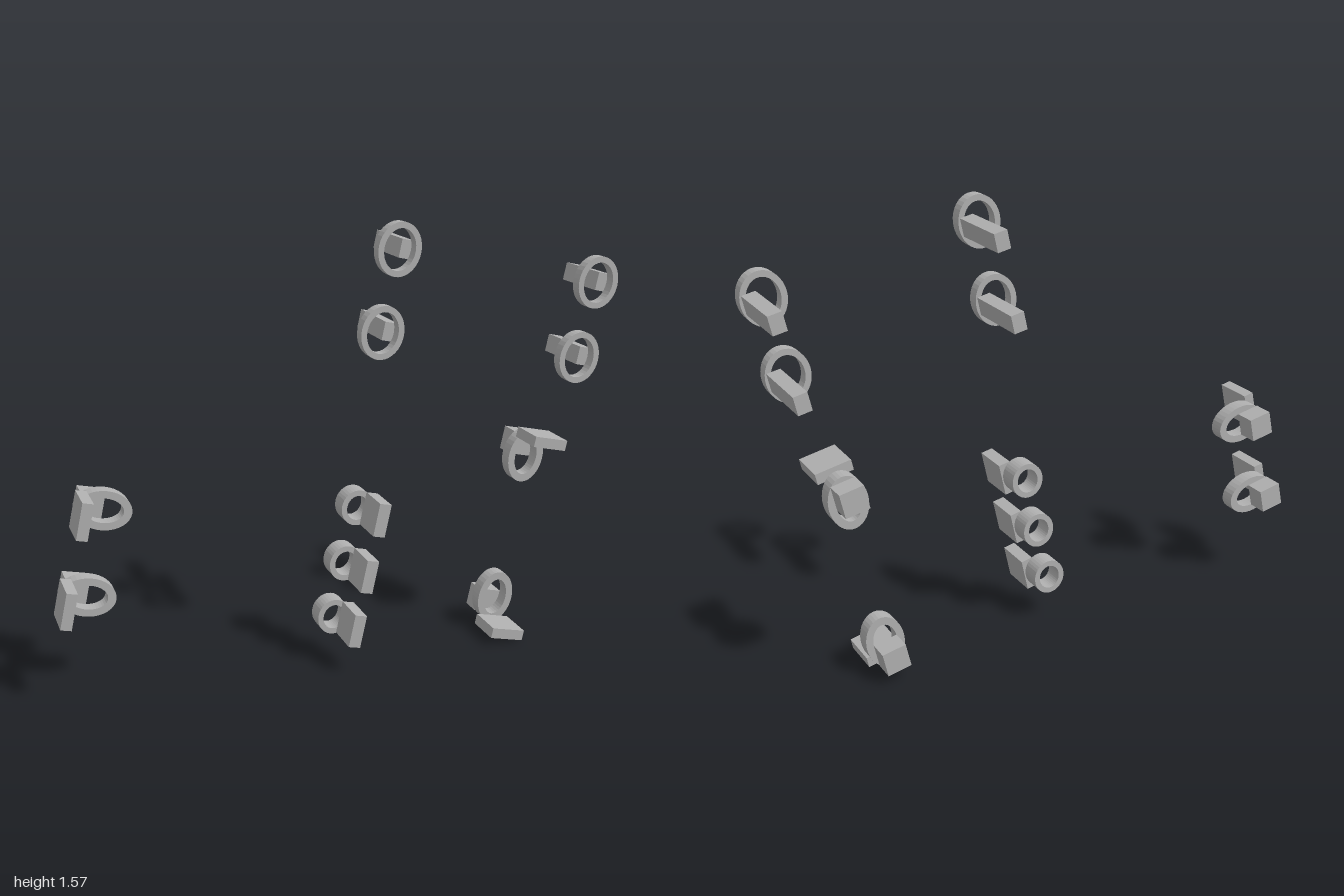
import * as THREE from 'three';

const TILT = -0.214; // the whole layout leans clockwise

export function createModel() {
  const model = new THREE.Group();
  model.name = 'ringFittings';
  const gray = new THREE.MeshStandardMaterial({ color: 0xb0b0b0 });
  gray.name = 'gray';

  // flat elliptical ring between two depths
  function ring(name, a, b, innerA, innerB, z0, z1) {
    const shape = new THREE.Shape();
    shape.absellipse(0, 0, a, b, 0, Math.PI * 2);
    const hole = new THREE.Path();
    hole.absellipse(0, 0, innerA, innerB, 0, Math.PI * 2, true);
    shape.holes.push(hole);
    const geo = new THREE.ExtrudeGeometry(shape, { depth: z1 - z0, bevelEnabled: false, curveSegments: 18 });
    const mesh = new THREE.Mesh(geo, gray);
    mesh.position.z = z0;
    mesh.name = name;
    return mesh;
  }

  // box centred at x, y between two depths
  function block(name, w, h, x, y, z0, z1) {
    const mesh = new THREE.Mesh(new THREE.BoxGeometry(w, h, z1 - z0), gray);
    mesh.position.set(x, y, (z0 + z1) / 2);
    mesh.name = name;
    return mesh;
  }

  function place(name, x, y, turn, parts) {
    const group = new THREE.Group();
    group.name = name;
    group.position.set(x, y, 0);
    group.rotation.z = TILT + turn;
    group.add(...parts);
    model.add(group);
  }

  // rings with a long bar running back
  for (const [x, y] of [[0.176, 1.476], [0.118, 1.2], [0.922, 1.324], [0.861, 1.061]]) {
    place('barRing', x, y, 0, [
      ring('ring', 0.0765, 0.092, 0.056, 0.071, 0.075, 0.117),
      block('bar', 0.048, 0.064, 0.042, 0.002, -0.163, 0.075),
    ]);
  }

  // rings with a plate in front and a block behind
  for (const [x, y, turn] of [
    [-0.813, 0.628, -Math.PI / 2], [-0.88, 0.325, -Math.PI / 2],
    [0.748, 0.663, Math.PI], [0.643, 0.122, 0],
  ]) {
    place('plateRing', x, y, turn, [
      ring('ring', 0.069, 0.097, 0.043, 0.068, -0.096, -0.044),
      block('plate', 0.128, 0.038, 0, -0.09, -0.035, 0.109),
      block('block', 0.0865, 0.0865, 0, -0.036, -0.171, -0.096),
    ]);
  }

  // small rings with a broad slab in front
  for (const [x, y] of [[0.061, 0.565], [0.017, 0.363], [-0.027, 0.166]]) {
    place('slabRing', x, y, 0, [
      ring('ring', 0.059, 0.064, 0.039, 0.044, -0.037, 0.034),
      block('slab', 0.043, 0.118, 0.042, 0.001, 0.034, 0.169),
    ]);
  }

  return model;
}
